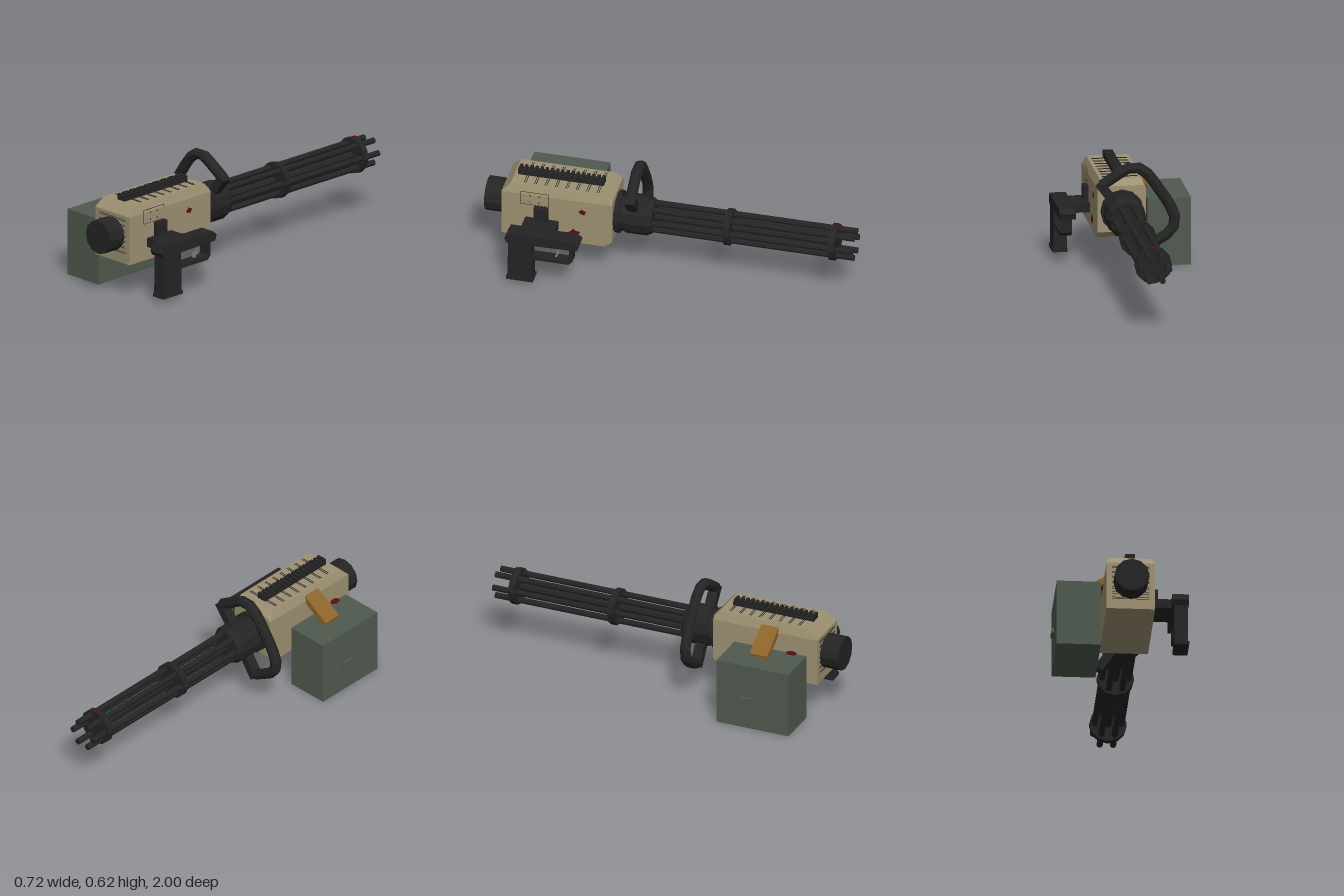
import * as THREE from 'three';
import { ConvexGeometry } from 'three/addons/geometries/ConvexGeometry.js';

const mat = (name, color) => Object.assign(new THREE.MeshStandardMaterial({ color }), { name });
const tan = mat('tan paint', 0x9e9172);
const black = mat('black metal', 0x242424);
const green = mat('olive grey', 0x505a4f);
const brass = mat('ochre', 0x8c642a);
const red = mat('dark red', 0x5c0f13);
const steel = mat('steel grey', 0x7d7d7d);

const CX = 0.043, CY = 0.34; // barrel axis

export function createModel() {
  const model = new THREE.Group();
  model.name = 'rotaryGun';

  // Adds a faceted mesh
  const add = (name, geometry, material, parent = model) => {
    const g = geometry.index ? geometry.toNonIndexed() : geometry;
    g.computeVertexNormals();
    const m = new THREE.Mesh(g, material);
    m.name = name;
    parent.add(m);
    return m;
  };
  const group = (name) => {
    const g = new THREE.Group();
    g.name = name;
    model.add(g);
    return g;
  };
  // Box given by its limits
  const box = (name, x0, x1, y0, y1, z0, z1, material, parent) =>
    add(name, new THREE.BoxGeometry(x1 - x0, y1 - y0, z1 - z0)
      .translate((x0 + x1) / 2, (y0 + y1) / 2, (z0 + z1) / 2), material, parent);
  // Cylinder along z
  const rod = (name, x, y, r, z0, z1, sides, material, parent) =>
    add(name, new THREE.CylinderGeometry(r, r, z1 - z0, sides).rotateX(Math.PI / 2)
      .translate(x, y, (z0 + z1) / 2), material, parent);
  const shape = (pts) => new THREE.Shape(pts.map(([a, b]) => new THREE.Vector2(a, b)));
  // Side profile of (z, y) points, extruded from x0 to x1
  const side = (name, pts, x0, x1, material, parent) =>
    add(name, new THREE.ExtrudeGeometry(shape(pts), { depth: x1 - x0, bevelEnabled: false, curveSegments: 6 })
      .rotateY(-Math.PI / 2).translate(x1, 0, 0), material, parent);

  // Receiver with chamfered top and barrel end
  const pts = [];
  for (const x of [-0.085, 0.172]) {
    for (const [y, z] of [[0.455, 0.895], [0.19, 0.895], [0.19, 0.335], [0.225, 0.295], [0.455, 0.295]])
      pts.push(new THREE.Vector3(x, y, z));
  }
  for (const x of [-0.068, 0.155]) {
    pts.push(new THREE.Vector3(x, 0.505, 0.848), new THREE.Vector3(x, 0.505, 0.328),
      new THREE.Vector3(x, 0.475, 0.295));
  }
  add('receiver', new ConvexGeometry(pts), tan);

  // Fine slot lines on the end face and the top
  const slots = group('ventSlots');
  for (let i = 0; i < 7; i++) {
    for (const d of [-0.004, 0.004]) {
      const y = 0.251 + i * 0.03 + d;
      box('endSlot', -0.055, 0.141, y - 0.001, y + 0.001, 0.894, 0.897, black, slots);
    }
  }
  for (let i = 0; i < 8; i++) {
    for (const d of [-0.005, 0.005]) {
      const z = 0.38 + i * 0.0565 + d;
      box('topSlot', -0.052, 0.138, 0.504, 0.507, z - 0.0015, z + 0.0015, black, slots);
    }
  }

  // Access panel outline with rivets on the left side
  const panel = group('accessPanel');
  for (const y of [0.393, 0.47]) box('panelEdge', 0.171, 0.173, y - 0.001, y + 0.001, 0.64, 0.79, black, panel);
  for (const z of [0.64, 0.79]) box('panelEdge', 0.171, 0.173, 0.393, 0.47, z - 0.001, z + 0.001, black, panel);
  for (const z of [0.69, 0.74])
    for (const y of [0.41, 0.45]) box('rivet', 0.171, 0.174, y - 0.003, y + 0.003, z - 0.003, z + 0.003, black, panel);

  // Toothed top rail
  const rail = group('topRail');
  box('railBase', 0.017, 0.071, 0.5, 0.522, 0.365, 0.83, black, rail);
  for (let i = 0; i < 17; i++) {
    const z = 0.366 + i * 0.028;
    box('railTooth', 0.017, 0.071, 0.52, 0.538, z, z + 0.016, black, rail);
  }

  // Drive motor
  rod('motor', CX, CY, 0.092, 0.88, 1, 12, black);

  // Stepped collar in front of the receiver
  const collar = [[0, 0.31], [0.115, 0.31], [0.115, 0.268], [0.1, 0.268], [0.1, 0.238],
    [0.108, 0.238], [0.108, 0.125], [0.09, 0.092], [0, 0.092]];
  add('collar', new THREE.LatheGeometry(collar.map(([r, z]) => new THREE.Vector2(r, -z)), 12)
    .rotateX(-Math.PI / 2).translate(CX, CY, 0), black);

  // Barrel cluster
  const barrels = group('barrelCluster');
  for (let i = 0; i < 6; i++) {
    const a = (i * Math.PI) / 3;
    rod('barrel', CX + 0.071 * Math.cos(a), CY + 0.071 * Math.sin(a), 0.0165, -1, 0.12, 8, black, barrels);
  }
  rod('centreShaft', CX, CY, 0.021, -0.89, 0.12, 8, black, barrels);
  for (const z of [-0.33, -0.902]) rod('barrelClamp', CX, CY, 0.099, z, z + 0.034, 12, black, barrels);

  // Looped carry handle with two radial legs
  const handle = group('carryHandle');
  const path = new THREE.CatmullRomCurve3([[0.165, 0.505], [0.065, 0.57], [0, 0.601], [-0.065, 0.575],
    [-0.14, 0.478], [-0.205, 0.375], [-0.226, 0.31], [-0.205, 0.25], [-0.085, 0.172]]
    .map(([x, y]) => new THREE.Vector3(x, y, 0.196)), false, 'centripetal');
  add('handleLoop', new THREE.TubeGeometry(path, 14, 0.03, 8), black, handle);
  for (const [x, y] of [[0.176, 0.514], [-0.083, 0.153]]) {
    const dx = x - CX, dy = y - CY;
    const leg = add('handleLeg', new THREE.BoxGeometry(0.048, Math.hypot(dx, dy), 0.052), black, handle);
    leg.position.set(CX + dx / 2, CY + dy / 2, 0.196);
    leg.rotation.z = Math.atan2(-dx, dy);
  }

  // Ammunition box, latch and feed chute
  const ammo = group('ammoBox');
  box('boxBody', -0.345, -0.112, 0, 0.365, 0.43, 0.845, green, ammo);
  box('latch', -0.358, -0.345, 0.156, 0.181, 0.57, 0.645, green, ammo);
  add('feedChute', new THREE.ExtrudeGeometry(
    shape([[-0.23, 0.381], [-0.226, 0.36], [-0.2, 0.36], [-0.075, 0.442], [-0.075, 0.482]]),
    { depth: 0.1, bevelEnabled: false }).translate(0, 0, 0.57), brass);

  // Side grip
  const grip = group('sideGrip');
  box('gripMount', 0.17, 0.2, 0.27, 0.39, 0.64, 0.715, black, grip);
  box('gripArm', 0.17, 0.29, 0.262, 0.312, 0.585, 0.765, black, grip);
  side('gripBar', [[0.835, 0.282], [0.82, 0.318], [0.455, 0.318], [0.43, 0.295], [0.44, 0.264], [0.82, 0.256]],
    0.268, 0.355, black, grip);
  side('gripHandle', [[0.815, 0.26], [0.818, 0.04], [0.685, 0.04], [0.69, 0.26]], 0.28, 0.352, black, grip);
  box('gripFoot', 0.277, 0.357, 0.027, 0.045, 0.68, 0.825, black, grip);
  side('triggerGuard', [[0.69, 0.184], [0.69, 0.165], [0.49, 0.165], [0.468, 0.185], [0.468, 0.265],
    [0.484, 0.265], [0.484, 0.195], [0.497, 0.184]], 0.285, 0.347, black, grip);
  side('trigger', [[0.545, 0.265], [0.565, 0.265], [0.556, 0.225], [0.567, 0.19], [0.557, 0.188], [0.543, 0.222]],
    0.307, 0.325, steel, grip);

  // Dark red splashes as thin irregular plates
  const splash = (z, y, r) => side('splash', Array.from({ length: 9 }, (_, i) => {
    const a = (i / 9) * Math.PI * 2, k = r * [1, 0.6, 0.85, 0.5, 1, 0.7, 0.9, 0.55, 0.75][i];
    return [z + k * Math.cos(a), y + k * Math.sin(a)];
  }), 0.17, 0.1745, red);
  splash(0.455, 0.39, 0.022);
  splash(0.5, 0.25, 0.034);
  const spot = add('boxSplash', new THREE.CylinderGeometry(0.02, 0.02, 0.004, 8), red);
  spot.position.set(-0.115, 0.367, 0.76);
  spot.scale.z = 1.5;
  box('clampSplash', 0.03, 0.058, 0.434, 0.441, -0.904, -0.888, red);

  return model;
}
